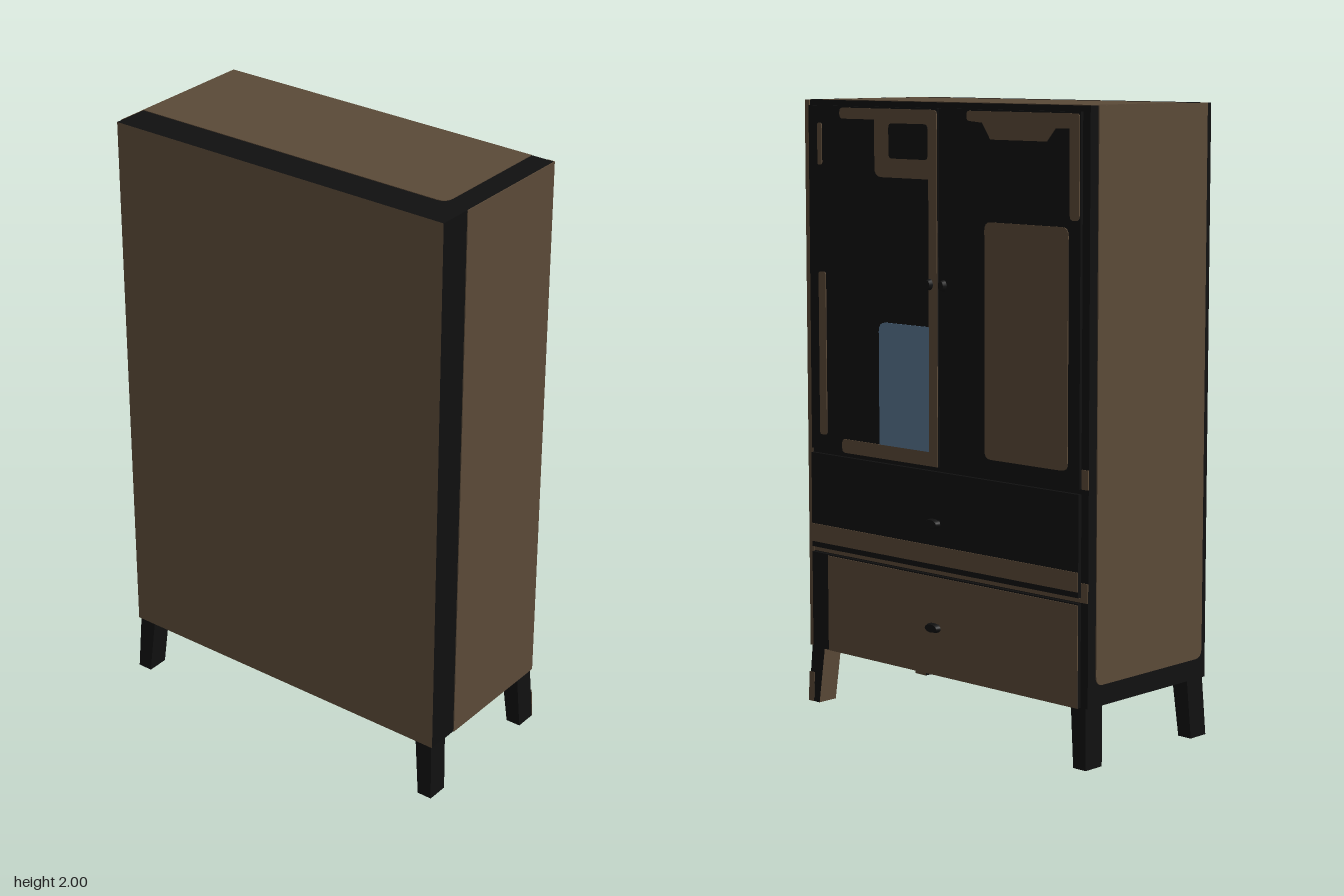
import * as THREE from 'three';

const black = new THREE.MeshStandardMaterial({ color: 0x101010 });
black.name = 'black paint';
const brown = new THREE.MeshStandardMaterial({ color: 0x5b4a38 });
brown.name = 'brown wood';
const blue = new THREE.MeshStandardMaterial({ color: 0x5a7692 });
blue.name = 'blue paint';

export function createModel() {
  const model = new THREE.Group();
  model.name = 'cabinet';

  const add = (name, geometry, material, x = 0, y = 0, z = 0) => {
    const mesh = new THREE.Mesh(geometry, material);
    mesh.name = name;
    mesh.position.set(x, y, z);
    model.add(mesh);
    return mesh;
  };

  // Box given by its limits on each axis
  const block = (name, material, x0, x1, y0, y1, z0, z1) =>
    add(name, new THREE.BoxGeometry(x1 - x0, y1 - y0, z1 - z0), material,
      (x0 + x1) / 2, (y0 + y1) / 2, (z0 + z1) / 2);

  // Polygon plate; each point may carry its own corner radius
  const plate = (points, depth, r = 0) => {
    const shape = new THREE.Shape();
    const n = points.length;
    points.forEach((p, i) => {
      const c = new THREE.Vector2(p[0], p[1]);
      const toward = (q, d) => new THREE.Vector2(q[0], q[1]).sub(c).setLength(d).add(c);
      const radius = p[2] ?? r;
      const a = radius ? toward(points[(i + n - 1) % n], radius) : c;
      const b = radius ? toward(points[(i + 1) % n], radius) : c;
      if (i === 0) shape.moveTo(a.x, a.y);
      else shape.lineTo(a.x, a.y);
      if (radius) shape.quadraticCurveTo(c.x, c.y, b.x, b.y);
    });
    shape.closePath();
    return new THREE.ExtrudeGeometry(shape, { depth, bevelEnabled: false, curveSegments: 4 });
  };
  const rect = (u0, u1, y0, y1) => [[u0, y0], [u1, y0], [u1, y1], [u0, y1]];

  // Plate on the door side, u runs toward -z
  const facing = (name, material, x, points, r = 0, depth = 0.003) =>
    add(name, plate(points, depth, r).rotateY(Math.PI / 2), material, x);

  // Carcass and painted sides
  block('carcass', [black, brown, black, brown, black, black], -0.305, 0.255, 0.19, 1.998, -0.617, 0.613);
  block('sidePanel', brown, -0.19, 0.255, 0.19, 1.998, 0.613, 0.616);
  add('topPanel', plate([[-0.185, -0.535, 0.035], [0.253, -0.535], [0.253, 0.617], [-0.185, 0.617]], 0.002)
    .rotateX(-Math.PI / 2), brown, 0, 1.998);
  add('farSidePanel', plate([[-0.22, 0.255, 0.03], [0.285, 0.255, 0.03], [0.285, 1.998], [-0.22, 1.998]], 0.003)
    .rotateY(Math.PI), brown, 0, 0, -0.617);

  // Edges of the carcass around the doors
  facing('edgeStripe', brown, 0.255, rect(-0.613, -0.592, 0.19, 1.998));
  facing('edgePatch', brown, 0.255, rect(0.59, 0.617, 0.86, 0.92));
  facing('edgePatch', brown, 0.255, rect(0.59, 0.617, 0.515, 0.575));
  facing('railStripe', brown, 0.255, rect(-0.59, 0.59, 0.515, 0.528));

  // Doors
  const doorFace = 0.265;
  block('leftDoor', black, 0.255, doorFace, 0.86, 1.98, 0.002, 0.588);
  block('rightDoor', black, 0.255, doorFace, 0.86, 1.98, -0.588, -0.002);

  // Left door paint
  facing('doorFrame', brown, doorFace, [
    [-0.44, 0.86, 0.015], [-0.004, 0.86], [-0.004, 1.975, 0.015], [-0.44, 1.975, 0.015], [-0.44, 1.94, 0.015],
    [-0.28, 1.94], [-0.28, 1.76, 0.03], [-0.04, 1.76], [-0.04, 0.905], [-0.44, 0.905, 0.015],
  ]);
  facing('doorSquare', black, doorFace + 0.001, rect(-0.215, -0.042, 1.82, 1.93), 0.015);
  facing('bluePanel', blue, doorFace, [[-0.265, 0.905], [-0.04, 0.905], [-0.04, 1.3], [-0.265, 1.3, 0.03]]);
  facing('doorStripe', brown, doorFace, rect(-0.545, -0.512, 0.91, 1.445), 0.01);
  facing('doorStripe', brown, doorFace, rect(-0.545, -0.525, 1.79, 1.925), 0.008);

  // Right door paint
  facing('doorPanel', brown, doorFace, rect(0.2, 0.542, 0.91, 1.64), 0.025);
  facing('doorCorner', brown, doorFace, [
    [0.125, 1.945, 0.012], [0.19, 1.94], [0.225, 1.89], [0.455, 1.89], [0.49, 1.93], [0.545, 1.93],
    [0.548, 1.66, 0.015], [0.585, 1.66, 0.015], [0.585, 1.975, 0.012], [0.125, 1.975, 0.012],
  ]);

  // Drawers
  const drawerFace = 0.268;
  block('upperDrawer', [black, black, black, black, brown, black], 0.255, drawerFace, 0.53, 0.845, -0.588, 0.588);
  facing('upperDrawerStripe', brown, drawerFace, rect(-0.588, 0.588, 0.548, 0.608));
  block('lowerDrawer', black, 0.255, drawerFace, 0.19, 0.512, -0.588, 0.588);
  facing('lowerDrawerPanel', brown, drawerFace, rect(-0.51, 0.588, 0.19, 0.508));

  // Knobs: a stem and a cap turned toward +x
  const knob = (name, x, y, z, length, width, height) => {
    const group = new THREE.Group();
    group.name = name;
    const stem = new THREE.Mesh(new THREE.CylinderGeometry(0.007, 0.007, length, 12).rotateZ(-Math.PI / 2), black);
    stem.position.x = length / 2;
    stem.name = 'knobStem';
    const cap = new THREE.Mesh(new THREE.CylinderGeometry(0.8, 1, 0.014, 16).rotateZ(-Math.PI / 2), black);
    cap.scale.set(1, height, width);
    cap.position.x = length;
    cap.name = 'knobCap';
    group.add(stem, cap);
    group.position.set(x, y, z);
    model.add(group);
  };
  for (const side of [-1, 1]) knob('doorKnob', doorFace, 1.435, side * 0.03, 0.015, 0.014, 0.018);
  for (const y of [0.35, 0.685]) knob('drawerKnob', drawerFace, y, 0, 0.031, 0.032, 0.016);

  // Splayed legs; the fourth value lists brown faces (+x, -x, top, bottom, +z, -z)
  const legs = [
    ['frontLeftLeg', 1, 1, [5]],
    ['frontRightLeg', 1, -1, [1, 4]],
    ['backLeftLeg', -1, 1, [0]],
    ['backRightLeg', -1, -1, []],
  ];
  for (const [name, sx, sz, brownFaces] of legs) {
    const geometry = new THREE.BoxGeometry(0.075, 0.19, 0.06);
    const p = geometry.attributes.position;
    for (let i = 0; i < p.count; i++) {
      if (p.getY(i) < 0) p.setXYZ(i, p.getX(i) * 0.98 + sx * 0.01, p.getY(i), p.getZ(i) * 0.85 + sz * 0.014);
    }
    geometry.computeVertexNormals();
    const materials = [0, 1, 2, 3, 4, 5].map((f) => (brownFaces.includes(f) ? brown : black));
    add(name, geometry, materials, sx > 0 ? 0.216 : -0.266, 0.095, sz * 0.578);
  }
  // Painted outer edge of one leg
  facing('legStripe', brown, 0.2625, [[-0.618, 0], [-0.594, 0], [-0.588, 0.1], [-0.612, 0.1]], 0, 0.002);

  return model;
}
